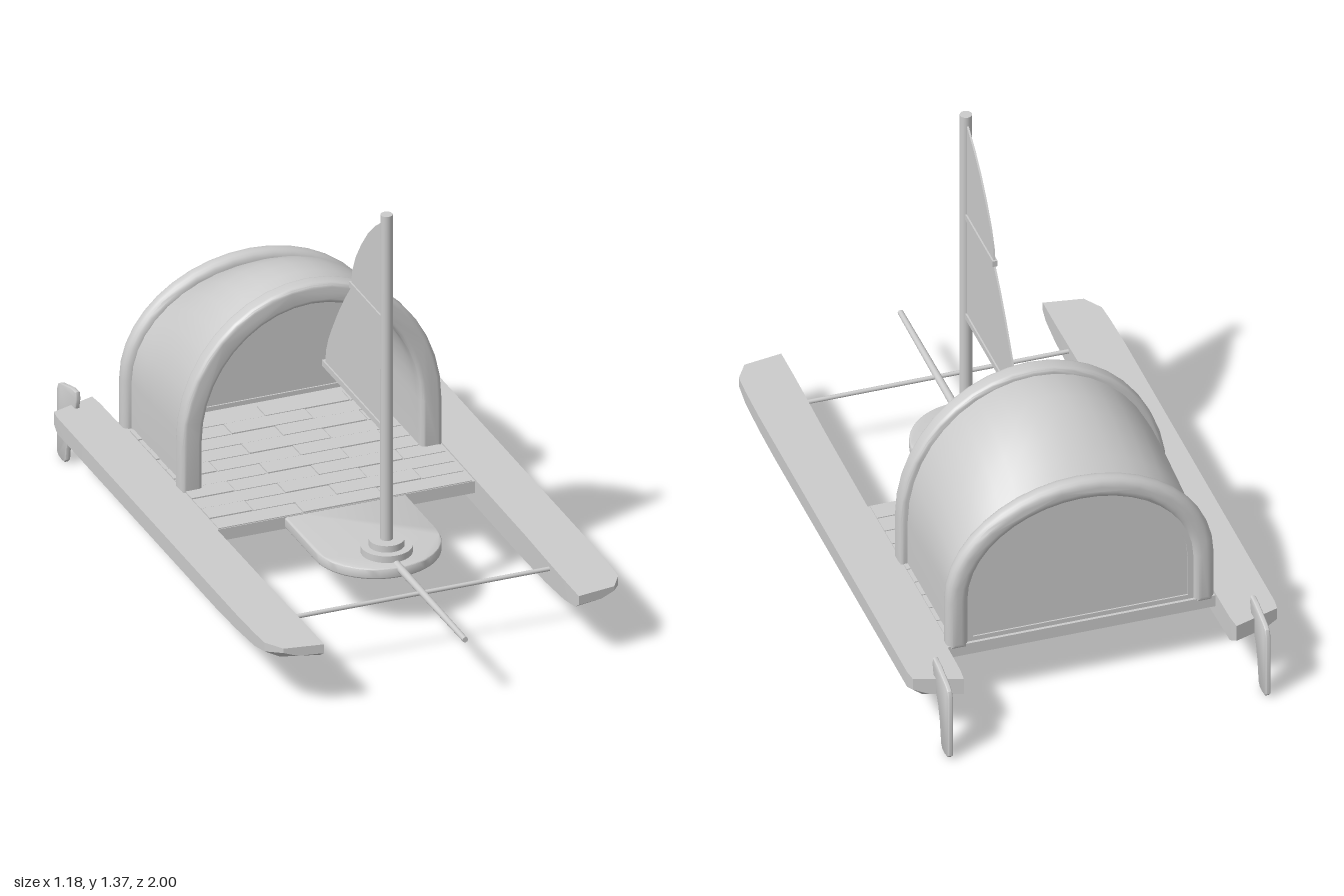
import * as THREE from 'three';
import { toCreasedNormals } from 'three/addons/utils/BufferGeometryUtils.js';

const material = new THREE.MeshStandardMaterial({ color: 0xcccccc, side: THREE.DoubleSide });
const V2 = (pts) => pts.map(([x, y]) => new THREE.Vector2(x, y));

function add(parent, name, geometry, x = 0, y = 0, z = 0) {
  const mesh = new THREE.Mesh(geometry, material);
  mesh.name = name;
  mesh.position.set(x, y, z);
  parent.add(mesh);
  return mesh;
}

// Skin over rings of [x, y, z], each counter-clockwise from +z, ordered front to back
function loft(rings, capped) {
  const n = rings[0].length, index = [];
  for (let i = 0; i < rings.length - 1; i++) {
    for (let j = 0; j < n; j++) {
      const k = (j + 1) % n, a = i * n + j, b = i * n + k;
      index.push(a, a + n, b, b, a + n, b + n);
    }
  }
  if (capped) {
    const last = (rings.length - 1) * n;
    for (let j = 1; j < n - 1; j++) index.push(0, j, j + 1, last, last + j + 1, last + j);
  }
  const g = new THREE.BufferGeometry();
  g.setAttribute('position', new THREE.Float32BufferAttribute(rings.flat(2), 3));
  g.setIndex(index);
  return toCreasedNormals(g, 0.5);
}

// Extruded plate, optionally with rounded edges that stay inside the outline
function plate(shape, depth, bevel = 0) {
  const g = new THREE.ExtrudeGeometry(shape, {
    depth: depth - 2 * bevel, bevelEnabled: bevel > 0, bevelSize: bevel,
    bevelThickness: bevel, bevelOffset: -bevel, bevelSegments: 4, curveSegments: 14,
  });
  g.translate(0, 0, bevel);
  return toCreasedNormals(g, 0.6);
}

// Upright plate in the side plane, outlined by [z, y] and centred on x = 0
function sidePlate(pts, thickness, bevel = 0) {
  const g = plate(new THREE.Shape(V2(pts.map(([z, y]) => [-z, y]))), thickness, bevel);
  return g.translate(0, 0, -thickness / 2).rotateY(Math.PI / 2);
}

// Straight legs with an elliptical crown, from the +x foot to the -x foot
function arch(w, top, spring, foot = 0.2, n = 20) {
  const pts = [[w, foot]];
  for (let i = 0; i <= n; i++) {
    const a = (i / n) * Math.PI;
    pts.push([w * Math.cos(a), spring + (top - spring) * Math.sin(a)]);
  }
  return [...pts, [-w, foot]];
}
const archRing = (w, top, spring, t) =>
  [...arch(w, top, spring), ...arch(w - t, top - t, spring).reverse()];

function rod(r1, r2, length, axis) {
  const g = new THREE.CylinderGeometry(r1, r2, length, 16);
  if (axis === 'x') g.rotateZ(Math.PI / 2);
  if (axis === 'z') g.rotateX(Math.PI / 2);
  return g;
}

function buildHull(side) {
  // inner z, outer z, inner x, outer x, bottom y, chine y
  const stations = [
    [0.89, 0.87, 0.42, 0.545, 0.195, 0.21],
    [0.86, 0.81, 0.42, 0.583, 0.175, 0.195],
    [0.77, 0.74, 0.42, 0.587, 0.158, 0.182],
    [0.62, 0.6, 0.422, 0.59, 0.145, 0.175],
    [0.45, 0.45, 0.425, 0.59, 0.137, 0.17],
    [-0.6, -0.6, 0.43, 0.59, 0.137, 0.17],
    [-0.86, -0.82, 0.433, 0.59, 0.14, 0.17],
    [-0.91, -0.86, 0.438, 0.585, 0.17, 0.185],
  ];
  return loft(stations.map(([zi, zo, xi, xo, yb, yc]) => {
    const xb = xo - 0.045, zb = zi + (zo - zi) * (xb - xi) / (xo - xi);
    const ring = [[xi, 0.225, zi], [xi, yb, zi], [xb, yb, zb], [xo, yc, zo], [xo, 0.225, zo]]
      .map(([x, y, z]) => [side * x, y, z]);
    return side > 0 ? ring : ring.reverse();
  }), true);
}

function buildDeck(parent) {
  const deck = new THREE.Group();
  deck.name = 'deck';
  parent.add(deck);
  add(deck, 'deckBase', new THREE.BoxGeometry(0.86, 0.04, 0.78), 0, 0.2, -0.34);

  // Rounded foredeck that carries the mast
  const tongue = new THREE.Shape();
  tongue.moveTo(-0.2, 0).lineTo(0.2, 0).lineTo(0.2, 0.29);
  tongue.absarc(0, 0.29, 0.2, 0, Math.PI, false);
  tongue.closePath();
  add(deck, 'foredeck', plate(tongue, 0.036, 0.006).rotateX(Math.PI / 2), 0, 0.218, 0);

  // Staggered planks
  const cuts = [[-0.42, -0.14, 0.13, 0.42], [-0.42, -0.275, 0, 0.28, 0.42]];
  for (let row = 0; row < 10; row++) {
    const xs = cuts[row % 2];
    for (let i = 0; i < xs.length - 1; i++) {
      const h = 0.004 + 0.002 * ((row + i) % 2);
      add(deck, 'plank', new THREE.BoxGeometry(xs[i + 1] - xs[i] - 0.004, h, 0.067),
        (xs[i] + xs[i + 1]) / 2, 0.219 + h / 2, 0.014 - row * 0.071);
    }
  }
}

function buildCabin(parent) {
  const cabin = new THREE.Group();
  cabin.name = 'cabin';
  parent.add(cabin);

  // Curved canopy: z and crown height
  const crown = [[-0.25, 0.825], [-0.33, 0.84], [-0.4, 0.835], [-0.47, 0.818],
    [-0.54, 0.788], [-0.61, 0.75], [-0.7, 0.695]];
  add(cabin, 'canopy', loft(crown.map(([z, top]) =>
    archRing(0.405, top, 0.38, 0.045).map(([x, y]) => [x, y, z])), false));

  add(cabin, 'frontArch',
    plate(new THREE.Shape(V2(archRing(0.43, 0.85, 0.38, 0.07))), 0.06, 0.015), 0, 0, -0.275);
  add(cabin, 'rearArch',
    plate(new THREE.Shape(V2(archRing(0.43, 0.74, 0.38, 0.07))), 0.06, 0.026), 0, 0, -0.735);

  // Rear wall with a thin inner trim
  add(cabin, 'rearWall', plate(new THREE.Shape(V2(arch(0.37, 0.68, 0.38))), 0.02), 0, 0, -0.715);
  const trim = new THREE.Shape(V2(arch(0.365, 0.675, 0.38)));
  trim.holes.push(new THREE.Path(V2(arch(0.345, 0.655, 0.38, 0.235).reverse())));
  add(cabin, 'rearWallTrim', plate(trim, 0.03), 0, 0, -0.72);
}

function buildRig(parent) {
  const rig = new THREE.Group();
  rig.name = 'rig';
  parent.add(rig);
  const z = 0.375;
  add(rig, 'mast', rod(0.019, 0.02, 1.16), 0, 0.79, z);
  add(rig, 'mastBase', new THREE.CylinderGeometry(0.08, 0.08, 0.025, 32), 0, 0.228, z);
  add(rig, 'mastCollar', new THREE.CylinderGeometry(0.055, 0.055, 0.025, 32), 0, 0.25, z);

  add(rig, 'lowerSail', sidePlate([[z, 0.63], [-0.105, 0.63], [-0.1, 0.68], [-0.08, 0.73],
    [-0.045, 0.79], [0, 0.86], [0.05, 0.93], [0.1, 0.99], [z, 0.99]], 0.006));
  add(rig, 'upperSail', sidePlate([[z, 1.0], [0.1, 1.0], [0.108, 1.05], [0.135, 1.11],
    [0.18, 1.175], [0.235, 1.24], [0.29, 1.29], [0.36, 1.34], [z, 1.345]], 0.006));
  add(rig, 'lowerBoom', new THREE.BoxGeometry(0.016, 0.02, 0.485), 0, 0.63, 0.1225);
  add(rig, 'upperBoom', new THREE.BoxGeometry(0.016, 0.02, 0.27), 0, 1.0, 0.23);

  // Bow spars
  add(rig, 'bowsprit', rod(0.009, 0.013, 0.58, 'z'), 0, 0.21, 0.71);
  add(rig, 'crossbar', rod(0.007, 0.007, 0.86, 'x'), 0, 0.205, 0.65);
}

export function createModel() {
  const model = new THREE.Group();
  model.name = 'catamaran';

  const rudder = [[-0.85, 0.283], [-0.89, 0.28], [-0.97, 0.258], [-0.99, 0.248], [-1, 0.225],
    [-1, 0.015], [-0.988, 0.003], [-0.965, 0], [-0.94, 0.002], [-0.927, 0.015],
    [-0.915, 0.09], [-0.9, 0.14], [-0.87, 0.19], [-0.855, 0.22], [-0.845, 0.26]];
  for (const side of [1, -1]) {
    const label = side > 0 ? 'left' : 'right';
    add(model, label + 'Hull', buildHull(side));
    add(model, label + 'Rudder', sidePlate(rudder, 0.016, 0.004), side * 0.51);
  }
  buildDeck(model);
  buildCabin(model);
  buildRig(model);
  return model;
}
